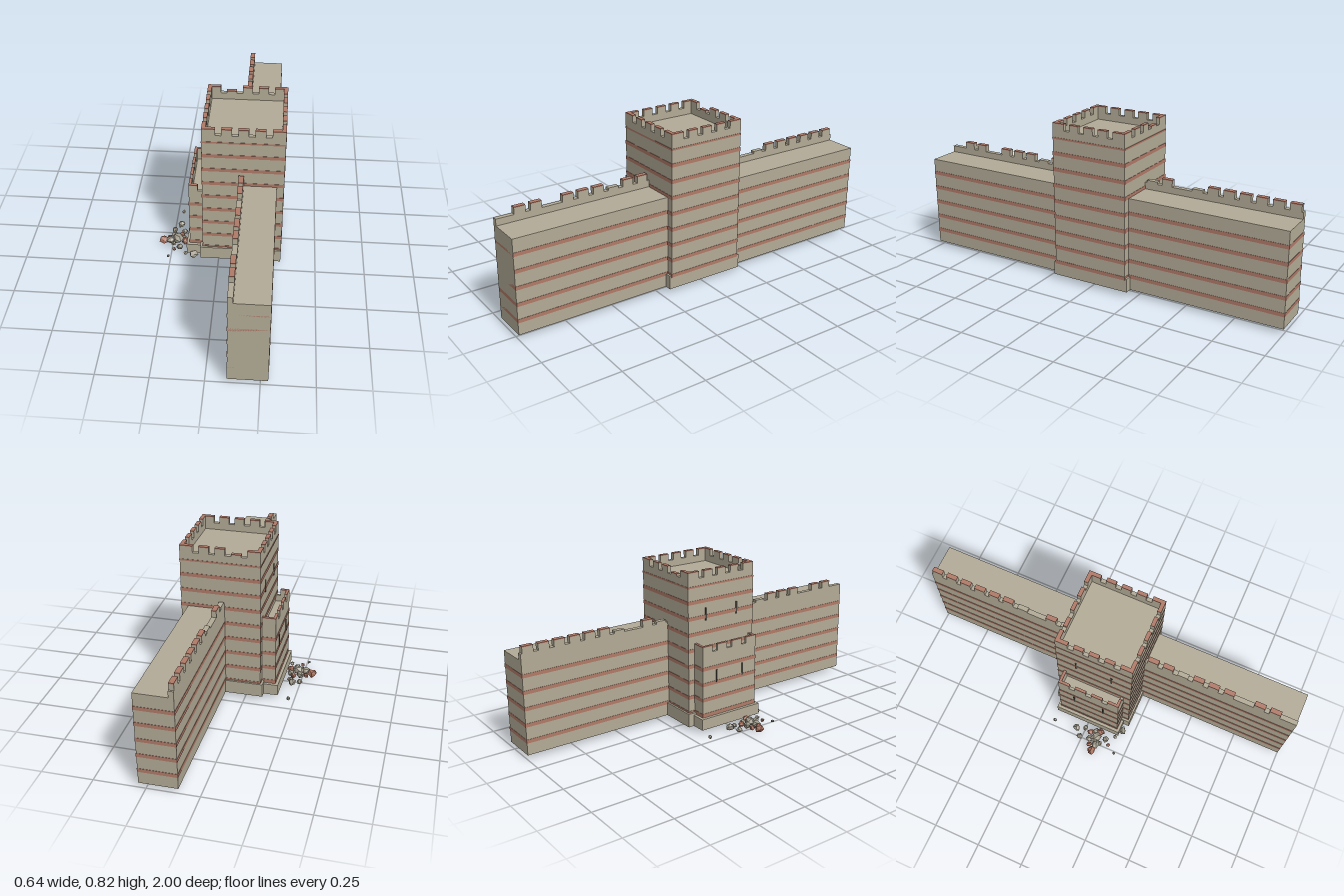
import * as THREE from 'three';

const mat = (name, color, flatShading = false) => {
  const m = new THREE.MeshStandardMaterial({ color, flatShading });
  m.name = name;
  return m;
};

export function createModel() {
  const model = new THREE.Group();
  model.name = 'fortifiedWall';
  const stone = mat('stone', 0xb3ab97);
  const brick = mat('brick', 0xb07a68);
  const dark = mat('slitShadow', 0x4a463e);
  const rockGrey = mat('rubbleStone', 0xa09a8a, true);
  const rockRed = mat('rubbleBrick', 0xa8705c, true);

  const BASE = 0.025;
  const group = (name) => {
    const g = new THREE.Group();
    g.name = name;
    model.add(g);
    return g;
  };

  // Box given by its limits on each axis
  const box = (parent, name, material, x0, x1, y0, y1, z0, z1) => {
    const m = new THREE.Mesh(new THREE.BoxGeometry(x1 - x0, y1 - y0, z1 - z0), material);
    m.position.set((x0 + x1) / 2, (y0 + y1) / 2, (z0 + z1) / 2);
    m.name = name;
    parent.add(m);
  };

  // Brick courses, evenly spaced up a block
  const bands = (parent, count, x0, x1, z0, z1) => {
    const e = 0.0015;
    for (let i = 0; i < count; i++) {
      const y = 0.086 + i * 0.0817;
      const h = i === 8 ? 0.009 : 0.0185;
      box(parent, 'brickCourse', brick, x0 - e, x1 + e, y, y + h, z0 - e, z1 + e);
    }
  };

  // Merlon with a thin brick cap
  const merlon = (parent, x0, x1, z0, z1, y0, y1) => {
    box(parent, 'merlon', stone, x0, x1, y0, y1 - 0.005, z0, z1);
    box(parent, 'merlonCap', brick, x0, x1, y1 - 0.005, y1, z0, z1);
  };

  // Main tower
  const tower = group('tower');
  const [tx0, tx1, tz] = [-0.08, 0.32, 0.2];
  const t = 0.02;
  box(tower, 'towerBody', stone, tx0, tx1, BASE, 0.75, -tz, tz);
  box(tower, 'towerPlinth', stone, -0.093, tx1, BASE, 0.095, -0.211, 0.211);
  bands(tower, 9, tx0, tx1, -tz, tz);
  for (const s of [-1, 1]) {
    const [a, b] = s < 0 ? [-tz, -tz + t] : [tz - t, tz];
    box(tower, 'towerParapet', stone, tx0, tx1, 0.75, 0.785, a, b);
    const [c, d] = s < 0 ? [tx0, tx0 + t] : [tx1 - t, tx1];
    box(tower, 'towerParapet', stone, c, d, 0.75, 0.785, -tz + t, tz - t);
    // Five merlons a side, the end ones meeting at the corners
    const spans = [[-0.2, -0.135], [-0.105, -0.055], [-0.025, 0.025], [0.055, 0.105], [0.135, 0.2]];
    spans.forEach(([u, v], i) => {
      const top = s < 0 && i === 1 ? 0.797 : 0.82;
      merlon(tower, 0.12 + u, 0.12 + v, a, b, 0.785, top);
      const end = i === 0 || i === 4;
      const w0 = end && i === 0 ? u + t : u;
      const w1 = end && i === 4 ? v - t : v;
      merlon(tower, c, d, w0, w1, 0.785, 0.82);
    });
  }

  // Long walls on both sides of the tower
  const wx0 = 0.1, wx1 = 0.285;
  for (const s of [-1, 1]) {
    const wall = group(s > 0 ? 'frontWall' : 'backWall');
    const [z0, z1] = s > 0 ? [tz, 1] : [-1, -tz];
    box(wall, 'wallBody', stone, wx0, wx1, BASE, 0.497, z0, z1);
    box(wall, 'wallParapet', stone, wx0, 0.125, 0.497, 0.53, z0, z1);
    bands(wall, 5, wx0, wx1, z0, s > 0 ? z1 - 0.0015 : z1 + 0.0015);
    // Merlon heights from the tower outwards: 0 missing, below 1 broken
    const heights = s > 0
      ? [1, 1, 0.35, 1, 1, 1, 0, 1, 1, 0]
      : [0.35, 1, 0, 0.35, 1, 1, 1, 1, 1, 1];
    heights.forEach((h, i) => {
      if (!h) return;
      const start = 0.211 + i * 0.0805;
      const [a, b] = s > 0 ? [start, start + 0.056] : [-start - 0.056, -start];
      if (h < 1) box(wall, 'brokenMerlon', stone, wx0, 0.125, 0.53, 0.53 + 0.035 * h, a, b);
      else merlon(wall, wx0, 0.125, a, b, 0.53, 0.565);
    });
  }

  // Low foretower against the tower's outer face
  const fore = group('foretower');
  const fx = -0.15, fz = 0.165, ft = 0.014;
  box(fore, 'foretowerBody', stone, fx, tx0, BASE, 0.39, -fz, fz);
  box(fore, 'foretowerPlinth', stone, -0.166, -0.09, BASE, 0.083, -0.18, 0.18);
  bands(fore, 4, fx, tx0, -fz, fz);
  box(fore, 'foretowerParapet', stone, fx, fx + ft, 0.39, 0.424, -fz, fz);
  for (let i = 0; i < 4; i++) {
    const z = -fz + i * 0.09;
    merlon(fore, fx, fx + ft, z, z + 0.06, 0.424, 0.458);
  }
  for (const s of [-1, 1]) {
    const [a, b] = s > 0 ? [fz - ft, fz] : [-fz, -fz + ft];
    box(fore, 'foretowerParapet', stone, fx + ft, tx0, 0.39, 0.424, a, b);
    merlon(fore, fx + ft, s > 0 ? -0.105 : tx0, a, b, 0.424, 0.458);
  }

  // Arrow slits on the outer faces
  for (const z of [-0.095, 0.095]) {
    box(tower, 'towerSlit', dark, tx0 - 0.003, tx0, 0.565, 0.63, z - 0.004, z + 0.004);
    box(fore, 'foretowerSlit', dark, fx - 0.003, fx, 0.26, 0.325, z * 0.85 - 0.004, z * 0.85 + 0.004);
  }

  // Rubble: x, z, radius, brick or not
  const rubble = group('rubble');
  const rocks = [
    [-0.298, 0.08, 0.025, 1], [-0.262, 0.085, 0.024, 0], [-0.225, 0.075, 0.028, 0],
    [-0.24, 0.045, 0.022, 0], [-0.205, 0.035, 0.018, 1], [-0.185, 0.085, 0.02, 1],
    [-0.21, 0.125, 0.02, 0], [-0.25, -0.012, 0.016, 0], [-0.215, -0.045, 0.02, 0],
    [-0.22, -0.172, 0.012, 0], [-0.262, 0.197, 0.008, 0], [-0.13, 0.19, 0.023, 0],
    [-0.175, 0.165, 0.012, 0], [-0.195, 0.0, 0.014, 0], [-0.235, 0.15, 0.012, 1],
    [-0.19, 0.06, 0.02, 0], [-0.27, 0.055, 0.014, 1], [-0.245, 0.105, 0.015, 0],
  ];
  rocks.forEach(([x, z, r, red], i) => {
    const geo = new THREE.IcosahedronGeometry(r, 0);
    const p = geo.attributes.position;
    // Uneven radius, the same for coincident corners
    for (let k = 0; k < p.count; k++) {
      const n = Math.sin((p.getX(k) * 7 + p.getY(k) * 13 + p.getZ(k) * 5) / r + i * 2.3);
      const f = 1 + 0.18 * n;
      p.setXYZ(k, p.getX(k) * f * 1.05, p.getY(k) * f * 0.9, p.getZ(k) * f * 0.9);
    }
    geo.rotateX(i * 1.7);
    geo.rotateY(i * 2.9);
    geo.computeBoundingBox();
    const m = new THREE.Mesh(geo, red ? rockRed : rockGrey);
    m.name = red ? 'brickRubble' : 'stoneRubble';
    m.position.set(x, -geo.boundingBox.min.y + (i % 3) * 0.004, z);
    rubble.add(m);
  });

  return model;
}
